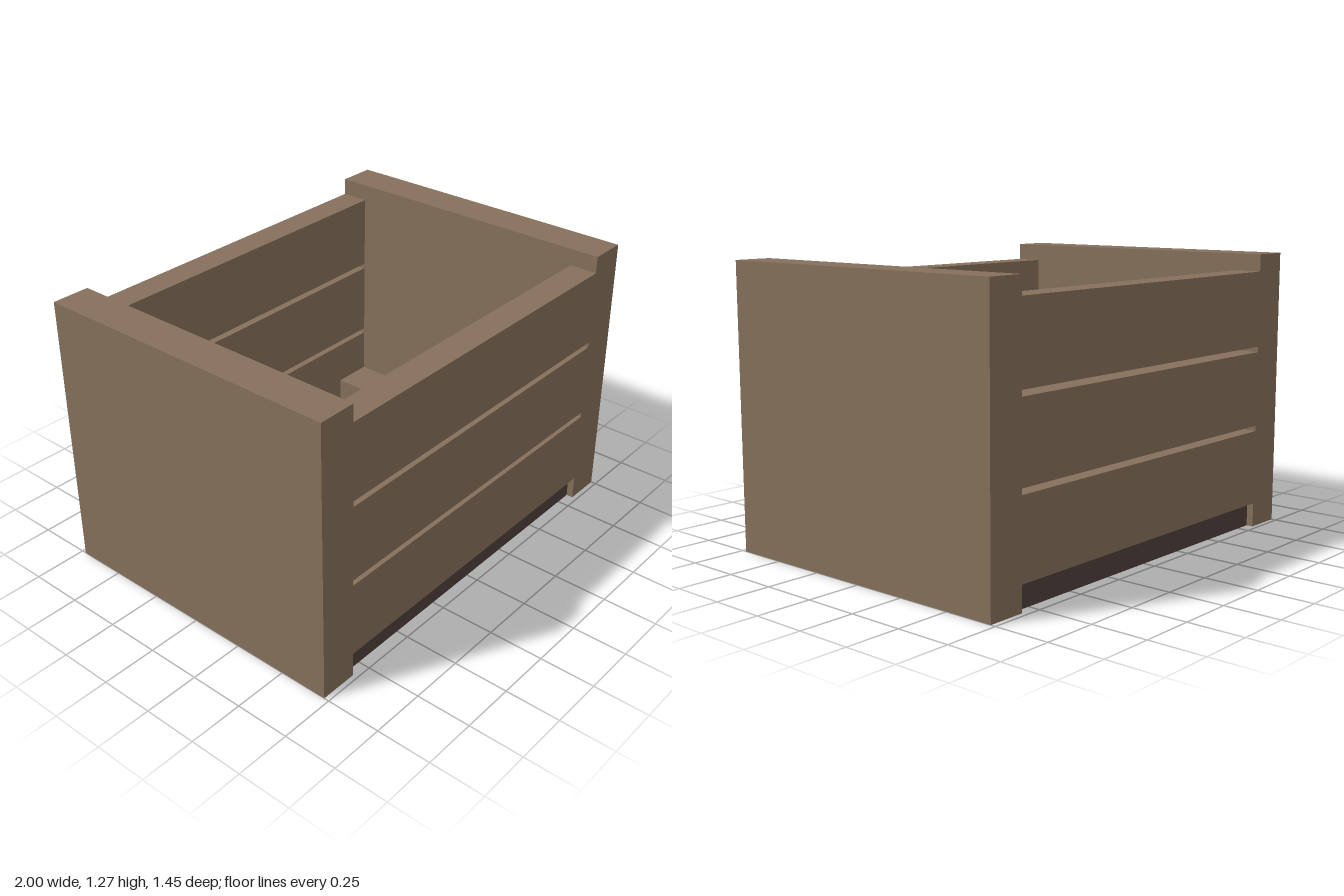
import * as THREE from 'three';

export function createModel() {
  const crate = new THREE.Group();
  crate.name = 'crate';

  const wood = new THREE.MeshStandardMaterial({ color: 0x86705b });
  wood.name = 'brown wood';
  const darkWood = new THREE.MeshStandardMaterial({ color: 0x4e403b });
  darkWood.name = 'dark wood';

  // Box given by its extents along each axis
  function board(name, material, [x0, x1], [y0, y1], [z0, z1]) {
    const mesh = new THREE.Mesh(new THREE.BoxGeometry(x1 - x0, y1 - y0, z1 - z0), material);
    mesh.position.set((x0 + x1) / 2, (y0 + y1) / 2, (z0 + z1) / 2);
    mesh.name = name;
    crate.add(mesh);
  }
  // Extent from a to b, mirrored when s is -1
  const span = (s, a, b) => (s > 0 ? [a, b] : [-b, -a]);

  const depth = 0.727;
  const inner = 0.825;
  const floorTop = 0.112;
  const slatHeight = 0.345;
  const slatPitch = 0.37;
  const slatBack = 0.597;

  // Floor, set slightly back from the slat faces
  board('floor', darkWood, [-inner, inner], [0, floorTop], [-0.695, 0.695]);

  for (const s of [1, -1]) {
    // Solid end panels, with a cleat along the inside at the floor
    const side = s > 0 ? 'left' : 'right';
    board(side + 'EndPanel', wood, span(s, inner, 1), [0, 1.275], [-depth, depth]);
    board(side + 'Cleat', wood, span(s, 0.635, inner), [floorTop, 0.25], [-slatBack, slatBack]);

    // Three slats with narrow gaps on the front and the back
    for (let i = 0; i < 3; i++) {
      const y = floorTop + i * slatPitch;
      board((s > 0 ? 'front' : 'back') + 'Slat' + (i + 1), wood,
        [-inner, inner], [y, y + slatHeight], span(s, slatBack, depth));
    }
  }
  return crate;
}
